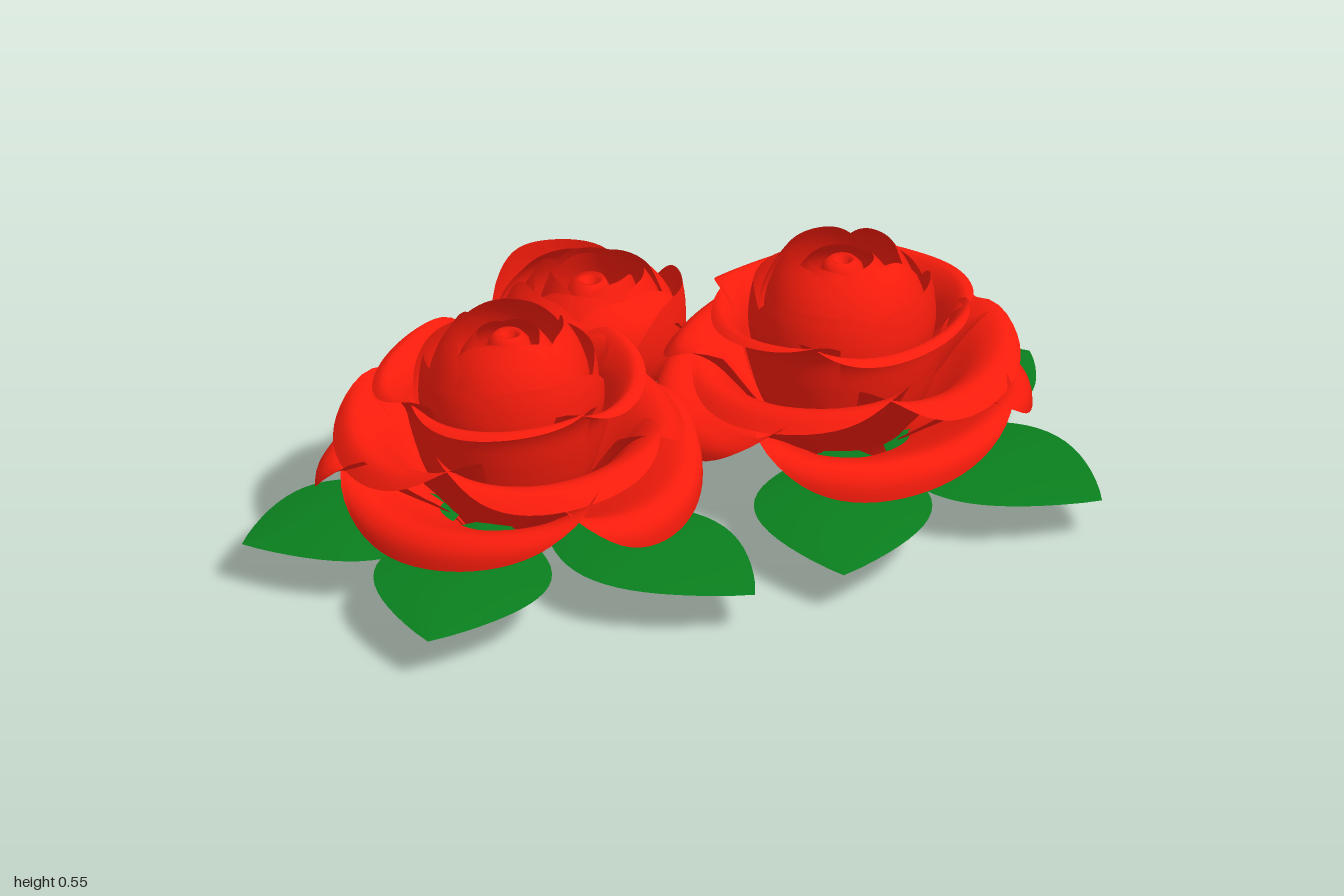
import * as THREE from 'three';

const red = new THREE.MeshStandardMaterial({ color: 0xf81c0c, side: THREE.DoubleSide });
const green = new THREE.MeshStandardMaterial({ color: 0x0a7e1e, side: THREE.DoubleSide });

// Smooth grid surface from a rule: fn(u, v) with u in -1..1 and v in 0..1
function surface(fn, nu, nv) {
  const geo = new THREE.PlaneGeometry(2, 1, nu, nv);
  const pos = geo.attributes.position;
  for (let i = 0; i < pos.count; i++) {
    const p = fn(pos.getX(i), pos.getY(i) + 0.5);
    pos.setXYZ(i, p[0], p[1], p[2]);
  }
  geo.computeVertexNormals();
  return geo;
}

// One petal: a [radius, height] profile swept round the axis, cut to a rounded top
function petal({ profile, span, cut, lift = 0, skew = 0.04, wave = 0 }, angle, k) {
  const curve = new THREE.SplineCurve(profile.map(p => new THREE.Vector2(...p)));
  return surface((u, v) => {
    const t = v * (1 - cut * Math.abs(u) ** 3);
    const p = curve.getPoint(t);
    const r = p.x * (1 + skew * u * Math.min(1, v * 2));
    const a = angle + u * span;
    const y = p.y + v * v * (lift * u * u + wave * Math.sin(u * 3 + k * 2.1));
    return [Math.sin(a) * r, y, Math.cos(a) * r];
  }, 28, 22);
}

function ring(name, count, phase, options) {
  const group = new THREE.Group();
  group.name = name;
  for (let k = 0; k < count; k++) {
    const mesh = new THREE.Mesh(petal(options, phase + (k / count) * Math.PI * 2, k), red);
    mesh.name = 'petal';
    group.add(mesh);
  }
  return group;
}

function lathe(name, points) {
  const mesh = new THREE.Mesh(
    new THREE.LatheGeometry(points.map(p => new THREE.Vector2(...p)), 28), red);
  mesh.name = name;
  return mesh;
}

// Open rose: every petal grows from the narrow foot; outer ones roll over, inner ones form a dome
function createRose(phase) {
  const rose = new THREE.Group();
  rose.name = 'rose';
  rose.add(
    ring('outerPetals', 4, phase, {
      profile: [[0.088, 0], [0.105, 0.05], [0.15, 0.1], [0.24, 0.15], [0.33, 0.195], [0.39, 0.21], [0.425, 0.18], [0.43, 0.135]],
      span: 0.95, cut: 0.33, lift: 0.09, wave: 0.012, skew: 0.025 }),
    ring('spreadPetals', 4, phase + Math.PI / 4, {
      profile: [[0.083, 0.005], [0.1, 0.06], [0.16, 0.14], [0.23, 0.22], [0.3, 0.295], [0.36, 0.315], [0.4, 0.275]],
      span: 0.98, cut: 0.33, lift: 0.05, wave: 0.012, skew: 0.025 }),
    ring('middlePetals', 4, phase + 0.25, {
      profile: [[0.075, 0.01], [0.1, 0.09], [0.18, 0.19], [0.215, 0.29], [0.235, 0.37], [0.275, 0.42], [0.305, 0.41]],
      span: 0.98, cut: 0.25, lift: 0.03, wave: 0.012 }),
    ring('cupPetals', 4, phase + 0.9, {
      profile: [[0.065, 0.02], [0.1, 0.13], [0.175, 0.25], [0.205, 0.36], [0.205, 0.43], [0.195, 0.48]],
      span: 0.95, cut: 0.22 }),
    ring('innerPetals', 4, phase + 0.3, {
      profile: [[0.05, 0.03], [0.09, 0.18], [0.155, 0.31], [0.18, 0.41], [0.16, 0.49], [0.122, 0.552]],
      span: 0.95, cut: 0.2 }),
    ring('heartPetals', 3, phase + 1, {
      profile: [[0.03, 0.04], [0.06, 0.25], [0.11, 0.39], [0.11, 0.47], [0.07, 0.53]],
      span: 1.25, cut: 0.12, skew: 0.07 }),
    lathe('roseCentre', [[0.05, 0.36], [0.06, 0.46], [0.045, 0.515], [0.03, 0.53], [0.018, 0.525], [0.012, 0.5], [0, 0.5]])
  );
  return rose;
}

// Half-closed bud with upright overlapping petals, the tallest at the back
function createBud() {
  const bud = new THREE.Group();
  bud.name = 'bud';
  bud.add(ring('budOuterPetals', 3, Math.PI, {
    profile: [[0.062, 0.04], [0.08, 0.075], [0.12, 0.105], [0.175, 0.145], [0.21, 0.21], [0.216, 0.29], [0.208, 0.36]],
    span: 1.15, cut: 0.38, wave: 0.01, skew: 0.03 }));
  const layers = [[4, 0.2, 0.94, 0.365, 0.95], [4, 0.9, 0.78, 0.375, 0.95], [3, 0.4, 0.55, 0.38, 1.25]];
  for (const [count, phase, s, top, span] of layers) {
    bud.add(ring('budPetals', count, phase, {
      profile: [[0.06 * s, 0.045], [0.1 * s, 0.1], [0.17 * s, 0.14], [0.212 * s, 0.21], [0.205 * s, 0.3], [0.155 * s, top]],
      span, cut: 0.2 }));
  }
  bud.add(lathe('budCentre', [[0.06, 0.25], [0.055, 0.32], [0.035, 0.36], [0.02, 0.355], [0.012, 0.335], [0, 0.335]]));
  return bud;
}

// Broad pointed leaf from a flower's stem to its tip, slightly arched
function createLeaf(cx, cz, tx, tz, halfWidth, start) {
  const length = Math.hypot(tx - cx, tz - cz);
  const dx = (tx - cx) / length, dz = (tz - cz) / length;
  const geo = surface((u, v) => {
    const d = start + (length - start) * v;
    const arch = Math.sin(Math.PI * v);
    const w = u * halfWidth * arch ** 0.9;
    const y = 0.112 + 0.024 * arch - 0.013 * v * v - 0.016 * u * u * arch;
    return [cx + dx * d - dz * w, y, cz + dz * d + dx * w];
  }, 10, 20);
  const leaf = new THREE.Mesh(geo, green);
  leaf.name = 'leaf';
  return leaf;
}

export function createModel() {
  const model = new THREE.Group();
  model.name = 'roseBouquet';
  // Leaf tips may carry their own root point as a third and fourth value
  const flowers = [
    { make: () => createRose(0.73), x: -0.375, z: 0.05, width: 0.2, start: 0.1,
      tips: [[-1, -0.03], [-0.39, -0.58], [-0.83, 0.58], [-0.07, 0.69]] },
    { make: () => createRose(-0.12), x: 0.455, z: 0.045, width: 0.2, start: 0.1,
      tips: [[1, -0.12], [0.49, -0.58], [0.83, 0.61], [0.15, 0.69]] },
    { make: createBud, x: 0.045, z: -0.41, width: 0.135, start: 0.04,
      tips: [[-0.18, -0.7], [0.29, -0.61, 0.1, -0.3], [0.05, 0.01]] }
  ];
  for (const f of flowers) {
    const flower = f.make();
    flower.position.set(f.x, 0, f.z);
    model.add(flower);
    for (const [tx, tz, rx = f.x, rz = f.z] of f.tips) {
      model.add(createLeaf(rx, rz, tx, tz, f.width, f.start));
    }
  }
  return model;
}
